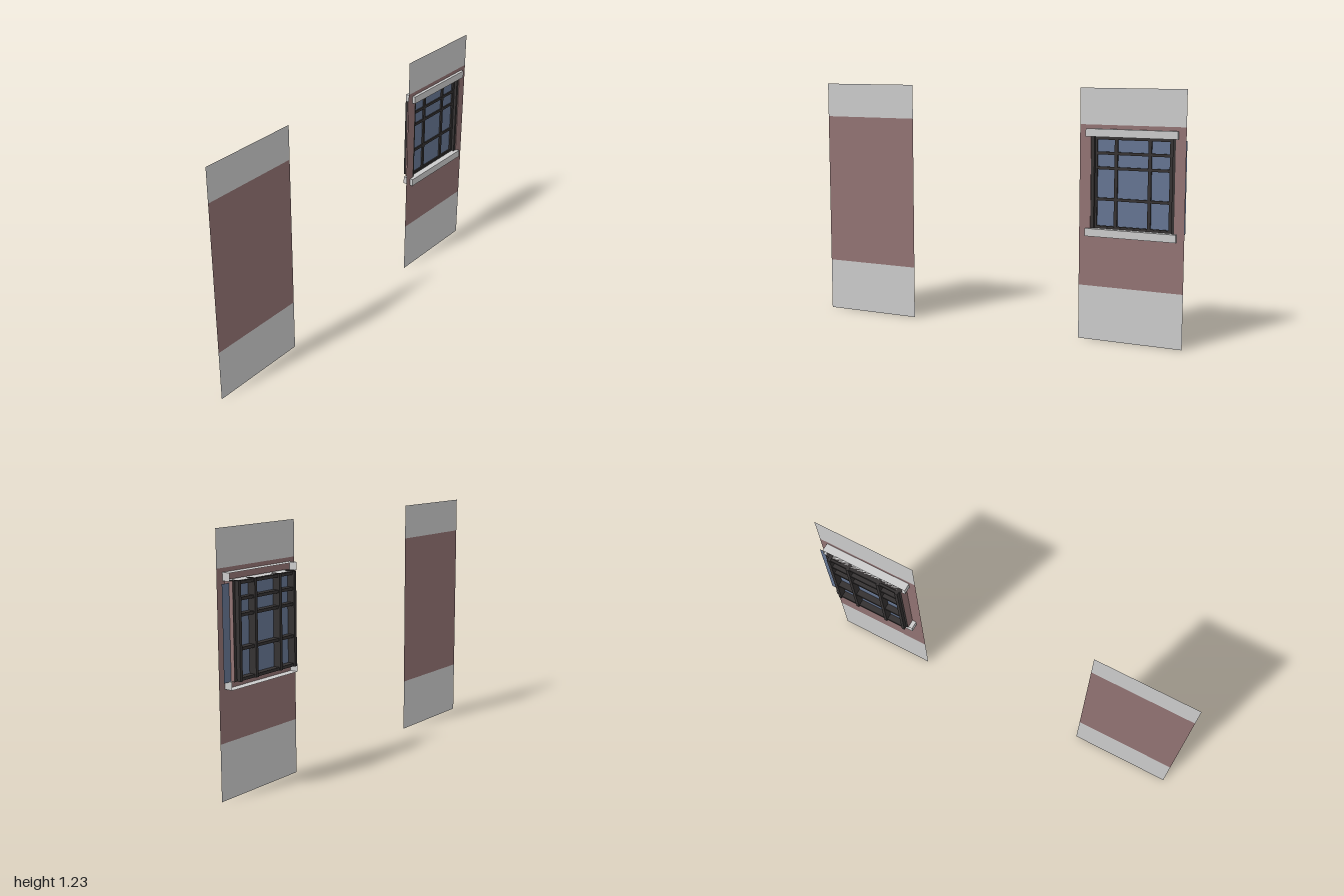
import * as THREE from 'three';

const mat = (color, side = THREE.FrontSide) => new THREE.MeshStandardMaterial({ color, side });
const stone = mat(0xcccccc, THREE.DoubleSide);
const brick = mat(0x927373, THREE.DoubleSide);
const glassBlue = mat(0x657592, THREE.DoubleSide);
const dark = mat(0x353232);

const WALL_Z = 0.026;
const OPENING = [0.527, 0.949, 0.55, 1.0];

function add(parent, name, geometry, material) {
  const mesh = new THREE.Mesh(geometry, material);
  mesh.name = name;
  parent.add(mesh);
  return mesh;
}

// Box given by its limits on each axis
function box(parent, name, [x0, x1], [y0, y1], [z0, z1], material) {
  const g = new THREE.BoxGeometry(x1 - x0, y1 - y0, z1 - z0);
  g.translate((x0 + x1) / 2, (y0 + y1) / 2, (z0 + z1) / 2);
  return add(parent, name, g, material);
}

// Flat upright sheet facing +z, optionally with a rectangular hole
function sheet(parent, name, x0, x1, y0, y1, z, material, hole) {
  const rect = (P, a, b, c, d) =>
    new P([[a, c], [b, c], [b, d], [a, d]].map(([x, y]) => new THREE.Vector2(x, y)));
  const shape = rect(THREE.Shape, x0, x1, y0, y1);
  if (hole) shape.holes.push(rect(THREE.Path, ...hole));
  return add(parent, name, new THREE.ShapeGeometry(shape).translate(0, 0, z), material);
}

// Wall strip in three bands: stone base, brick field, stone top
function wallPanel(name, x0, x1, hole) {
  const g = new THREE.Group();
  g.name = name;
  sheet(g, 'baseBand', x0, x1, 0, 0.268, WALL_Z, stone);
  sheet(g, 'brickField', x0, x1, 0.268, 1.055, WALL_Z, brick, hole);
  sheet(g, 'topBand', x0, x1, 1.055, 1.23, WALL_Z, stone);
  return g;
}

// Stone trim: a box shell left open at the back
function trim(parent, name, y0, y1) {
  const [x0, x1, z0, z1] = [0.505, 0.963, -0.016, 0.042];
  const g = new THREE.BoxGeometry(x1 - x0, y1 - y0, z1 - z0);
  g.translate((x0 + x1) / 2, (y0 + y1) / 2, (z0 + z1) / 2);
  g.setIndex(Array.from(g.index.array).slice(0, 30)); // the last side faces -z
  add(parent, name, g, stone);
}

export function createModel() {
  const model = new THREE.Group();
  model.name = 'facadePanels';
  model.add(wallPanel('plainWall', -1, -0.47));
  model.add(wallPanel('windowWall', 0.47, 1, OPENING));

  const win = new THREE.Group();
  win.name = 'window';
  model.add(win);
  const [x0, x1, y0, y1] = OPENING;

  // Brick reveals behind the wall
  for (const [name, x] of [['rightReveal', x0 - 0.001], ['leftReveal', x1 + 0.001]]) {
    const g = new THREE.PlaneGeometry(WALL_Z + 0.02, y1 - y0).rotateY(Math.PI / 2);
    g.translate(x, (y0 + y1) / 2, (WALL_Z - 0.02) / 2);
    add(win, name, g, brick);
  }

  // Lintel and sill
  trim(win, 'lintel', 0.998, 1.036);
  trim(win, 'sill', 0.514, 0.552);

  // Glass pane, running past the opening on one side
  sheet(win, 'glass', x0 + 0.003, 0.996, 0.55, 0.99, 0, glassBlue);

  // Outer frame
  box(win, 'rightJamb', [x0, 0.543], [y0, y1], [-0.02, 0.022], dark);
  box(win, 'leftJamb', [0.934, x1], [y0, y1], [-0.02, 0.022], dark);
  box(win, 'headRail', [x0, x1], [0.987, 0.998], [-0.02, 0.01], dark);
  box(win, 'bottomRail', [x0, x1], [0.552, 0.562], [-0.02, 0.01], dark);

  // Upright bars
  for (const x of [0.545, 0.649, 0.818, 0.924])
    box(win, 'mullion', [x - 0.008, x + 0.008], [y0, y1], [-0.039, 0.008], dark);

  // Crossbars
  for (const y of [0.558, 0.695, 0.846, 0.918, 0.99])
    box(win, 'crossbar', [0.54, 0.93], [y - 0.007, y + 0.007], [-0.032, 0.007], dark);

  return model;
}
